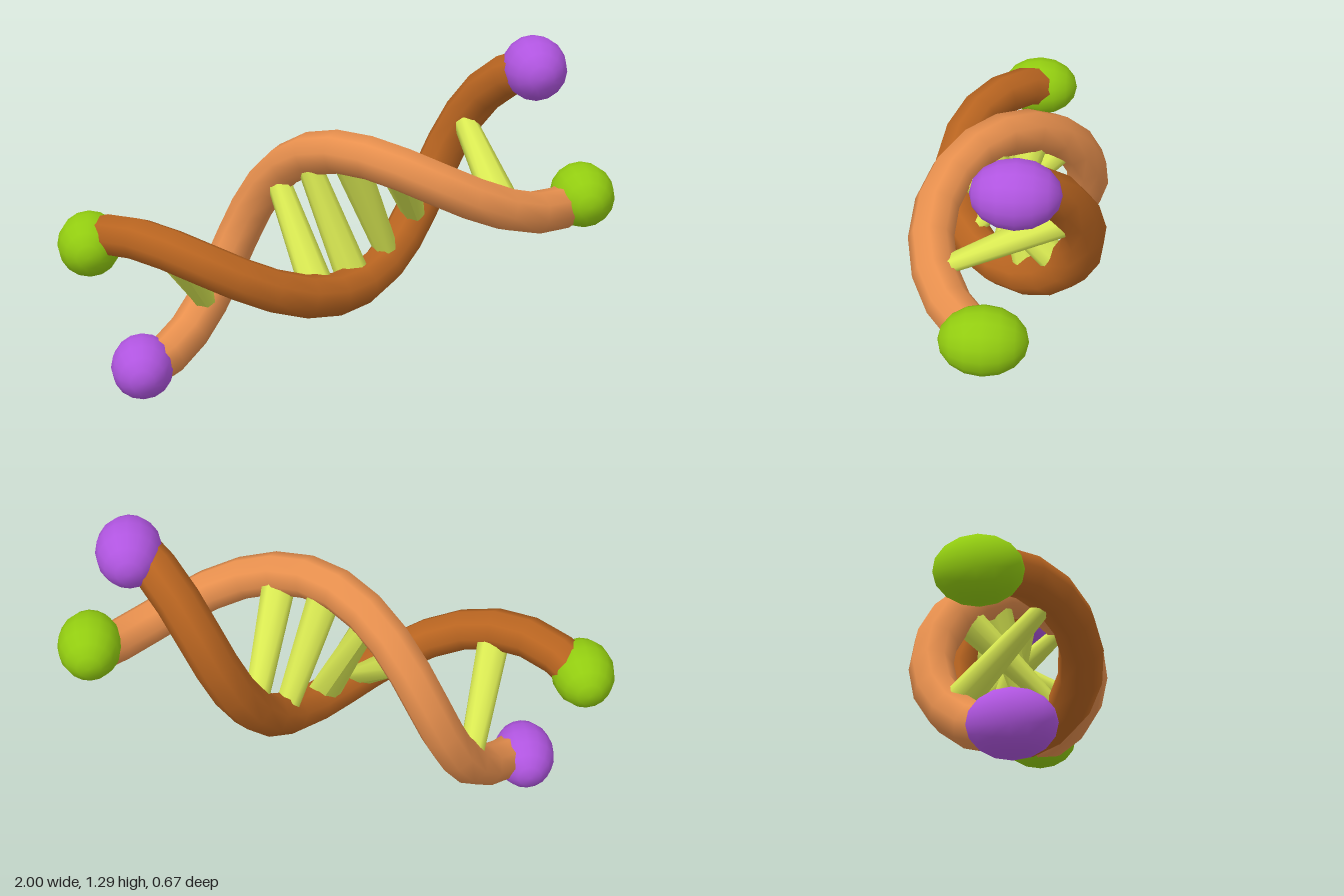
import * as THREE from 'three';

const TILT = THREE.MathUtils.degToRad(20.8);
const AXIS = new THREE.Vector3(Math.cos(TILT), Math.sin(TILT), 0);
const PERP = new THREE.Vector3(-Math.sin(TILT), Math.cos(TILT), 0);
const CENTRE = new THREE.Vector3(0, 0.65, 0);
const HALF = 0.856, RADIUS = 0.256, TUBE = 0.078;

// One strand: a full turn of a helix around the tilted axis, from a start angle in degrees
class Strand extends THREE.Curve {
  constructor(start) {
    super();
    this.start = start;
  }
  getPoint(u, target = new THREE.Vector3()) {
    const a = THREE.MathUtils.degToRad(this.start + 378 * u);
    target.copy(CENTRE).addScaledVector(AXIS, (2 * u - 1) * HALF)
      .addScaledVector(PERP, RADIUS * Math.cos(a));
    target.z += RADIUS * Math.sin(a);
    return target;
  }
}

const paint = (color) => new THREE.MeshStandardMaterial({ color, side: THREE.DoubleSide });

// Rung whose section turns from tall at the back end to broad at the front end
function rungGeometry(length) {
  const geo = new THREE.CylinderGeometry(1, 1, length, 8, 1);
  const pos = geo.attributes.position;
  for (let i = 0; i < pos.count; i++) {
    const front = pos.getY(i) > 0;
    pos.setX(i, pos.getX(i) * (front ? 0.064 : 0.042));
    pos.setZ(i, pos.getZ(i) * (front ? 0.026 : 0.06));
  }
  geo.computeVertexNormals();
  return geo;
}

export function createModel() {
  const model = new THREE.Group();
  const add = (name, geo, mat) => {
    const mesh = new THREE.Mesh(geo, mat);
    mesh.name = name;
    model.add(mesh);
    return mesh;
  };

  // Two twisted strands, half a turn apart
  const dark = new Strand(-20);
  const light = new Strand(160);
  add('darkStrand', new THREE.TubeGeometry(dark, 18, TUBE, 8), paint(0xb86420));
  add('lightStrand', new THREE.TubeGeometry(light, 18, TUBE, 8), paint(0xe8904e));

  // Rungs between the strands, given by their distance along the axis
  const yellow = paint(0xd8e852);
  for (const t of [-0.57, -0.15, -0.02, 0.125, 0.27, 0.565]) {
    const u = (t / HALF + 1) / 2;
    const ends = [dark.getPoint(u), light.getPoint(u)].sort((a, b) => a.z - b.z);
    const dir = ends[1].clone().sub(ends[0]);
    const rung = add('rung', rungGeometry(dir.length()), yellow);
    dir.normalize();
    rung.quaternion.setFromRotationMatrix(
      new THREE.Matrix4().makeBasis(AXIS, dir, AXIS.clone().cross(dir)));
    rung.position.copy(ends[0]).add(ends[1]).multiplyScalar(0.5);
  }

  // Oval knobs on the four strand ends, longer from front to back
  const knob = new THREE.SphereGeometry(0.115, 16, 8).rotateX(Math.PI / 2).scale(1, 1, 1.27);
  const green = paint(0x92cc10), purple = paint(0xb055e0);
  for (const s of [-1, 1]) {
    add('greenKnob', knob, green).position.set(0.886 * s, 0.65 + 0.079 * s, 0.048 * s);
    add('purpleKnob', knob, purple).position.set(0.713 * s, 0.65 + 0.53 * s, -0.045 * s);
  }
  return model;
}
